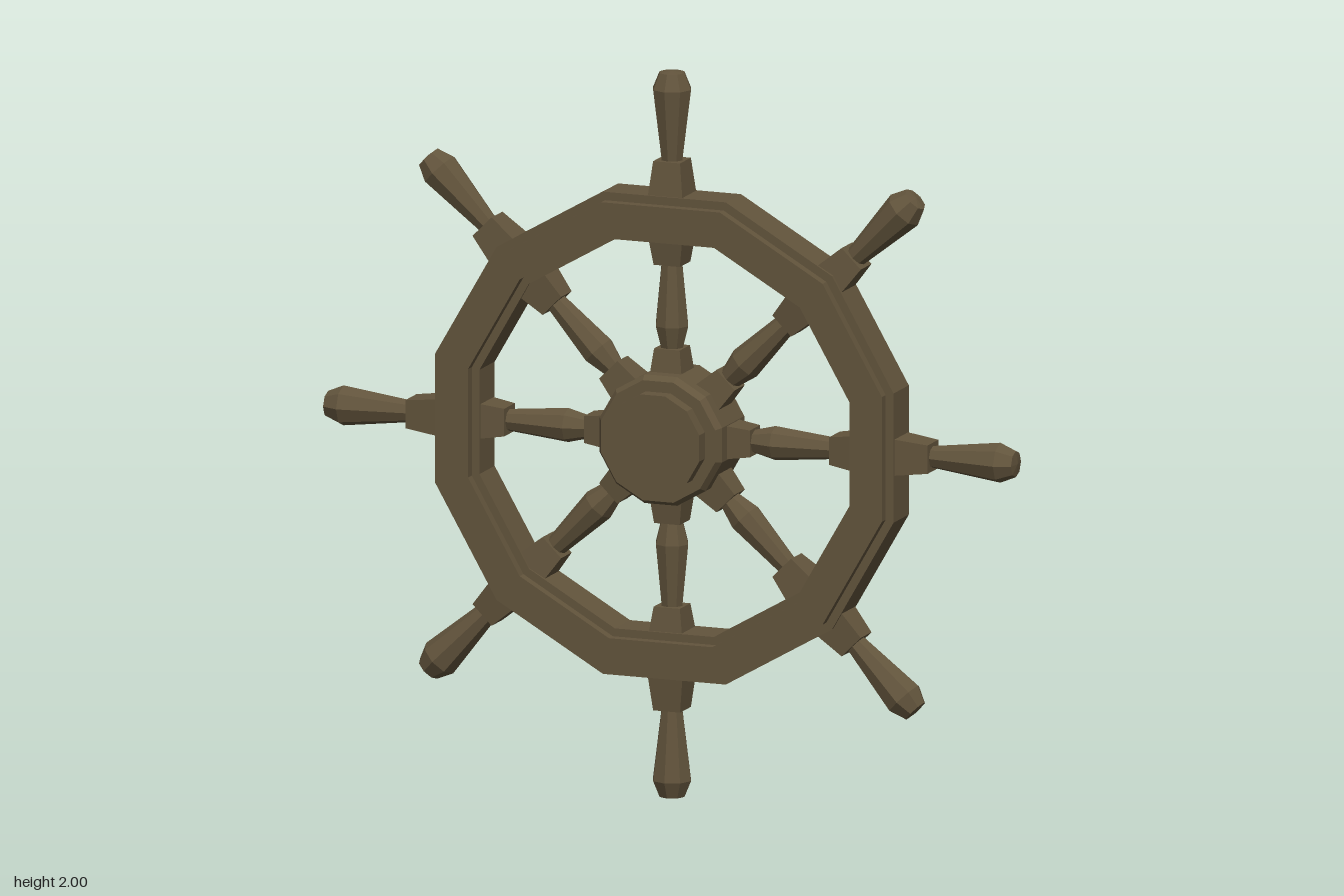
import * as THREE from 'three';

const wood = new THREE.MeshStandardMaterial({ color: 0x62543c, flatShading: true });
wood.name = 'dark wood';

function part(name, geometry) {
  const mesh = new THREE.Mesh(geometry, wood);
  mesh.name = name;
  return mesh;
}

// Faceted turning; a profile is a list of [radius, height], running upwards on the outside.
function turned(name, profile, sides, start = 0) {
  const points = profile.map(([r, h]) => new THREE.Vector2(r, h));
  return part(name, new THREE.LatheGeometry(points, sides, start));
}

// Twelve-sided turning around z; radii are measured to the flats.
function wheelPart(name, profile) {
  const k = 1 / Math.cos(Math.PI / 12);
  const mesh = turned(name, profile.map(([r, h]) => [r * k, h]), 12, Math.PI / 12);
  mesh.rotation.x = Math.PI / 2;
  return mesh;
}

// Tapered square block along y, given half widths at both ends.
function block(name, y0, half0, y1, half1) {
  const g = new THREE.CylinderGeometry(half1 * Math.SQRT2, half0 * Math.SQRT2, y1 - y0, 4);
  g.rotateY(Math.PI / 4);
  g.translate(0, (y0 + y1) / 2, 0);
  return part(name, g);
}

function spoke() {
  const group = new THREE.Group();
  group.name = 'spoke';
  group.add(
    block('hubBlock', 0.14, 0.05, 0.24, 0.037),
    turned('baluster', [[0, 0.225], [0.028, 0.225], [0.047, 0.3], [0.029, 0.48]], 8),
    block('innerRimBlock', 0.47, 0.038, 0.58, 0.054),
    block('outerRimBlock', 0.6, 0.057, 0.755, 0.039),
    turned('handle', [[0.028, 0.74], [0.055, 0.95], [0.036, 0.995], [0, 1]], 8),
  );
  return group;
}

export function createModel() {
  const model = new THREE.Group();
  model.name = 'shipWheel';
  const wheel = new THREE.Group();
  wheel.name = 'wheel';
  wheel.position.y = 1;
  model.add(wheel);

  // Rim with a stepped cross-section
  wheel.add(wheelPart('rim', [
    [0.535, -0.055], [0.663, -0.055], [0.663, 0.055], [0.64, 0.055], [0.64, 0.082],
    [0.557, 0.082], [0.557, 0.055], [0.535, 0.055], [0.535, -0.055],
  ]));
  wheel.children[0].geometry.dispose();
  wheel.clear();
  const half = [[0.663, 0.055], [0.64, 0.055], [0.64, 0.082], [0.557, 0.082], [0.557, 0.055], [0.535, 0.055]];
  const mirrored = half.map(([r, h]) => [r, -h]).reverse();
  wheel.add(wheelPart('rim', [...mirrored, ...half, mirrored[0]]));

  // Hub: core, flanges and end caps
  wheel.add(wheelPart('hub', [
    [0, -0.14], [0.135, -0.14], [0.135, -0.1], [0.165, -0.1], [0.177, -0.08],
    [0.177, 0.08], [0.165, 0.1], [0.135, 0.1], [0.135, 0.14], [0, 0.14],
  ]));

  // Eight spokes with handles
  for (let i = 0; i < 8; i++) {
    const s = spoke();
    s.rotation.z = (i * Math.PI) / 4;
    wheel.add(s);
  }
  return model;
}
